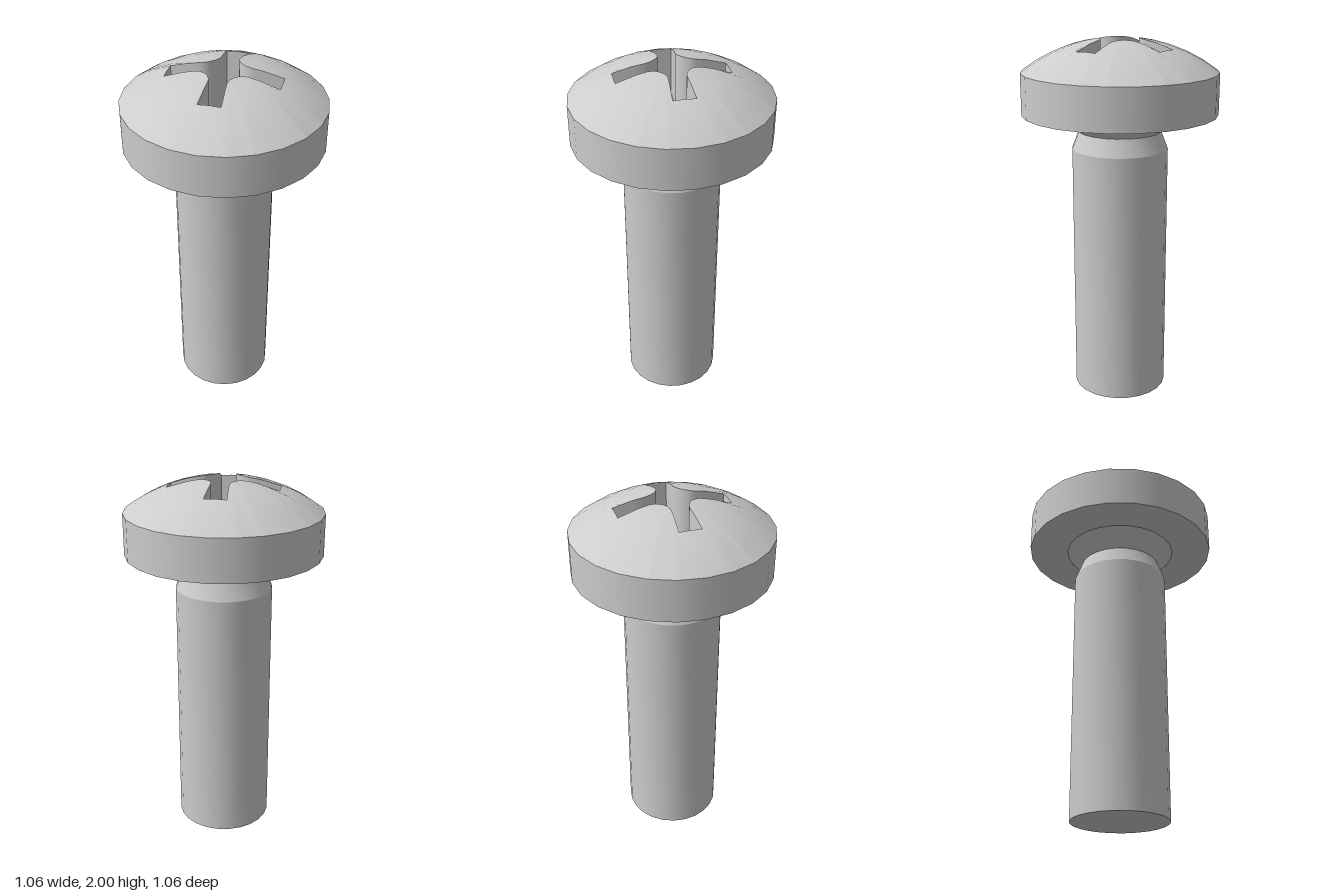
import * as THREE from 'three';
import { toCreasedNormals } from 'three/addons/utils/BufferGeometryUtils.js';

const SIDES = 24, HEAD_R = 0.53, RIM_Y = 1.825, UNDER_Y = 1.6, SLOT_Y = 1.7;
const STEP = (Math.PI * 2) / SIDES;

// Cross-shaped slot outline: flared arms joined by rounded inner corners
function slotOutline() {
  const quarter = [[0.293, 0.058]];
  const segments = 8, c = 0.14, r = 0.094;
  for (let i = 0; i <= segments; i++) {
    const a = -Math.PI / 2 - 0.08 - (i / segments) * (Math.PI / 2 - 0.16);
    quarter.push([c + r * Math.cos(a), c + r * Math.sin(a)]);
  }
  quarter.push([0.058, 0.293]);
  const points = [];
  for (let k = 0; k < 4; k++) {
    for (const [x, y] of quarter) {
      points.push(new THREE.Vector2(x, y).rotateAround(new THREE.Vector2(), k * Math.PI / 2));
    }
  }
  return points;
}

// Distance from the centre to the slot outline along an angle
function slotRadius(outline, angle) {
  const d = new THREE.Vector2(Math.cos(angle), Math.sin(angle));
  for (let i = 0; i < outline.length; i++) {
    const p = outline[i], q = outline[(i + 1) % outline.length];
    if (p.dot(d) > 0 && p.cross(d) > -1e-7 && d.cross(q) > -1e-7) {
      const e = q.clone().sub(p);
      return p.cross(e) / d.cross(e);
    }
  }
  return 0.1;
}

// Joins closed rings of [x, y, z] points, listed from the inside outwards
function loft(rings) {
  const n = rings[0].length, index = [];
  for (let k = 0; k < rings.length - 1; k++) {
    for (let i = 0; i < n; i++) {
      const j = (i + 1) % n, a = k * n + i, b = k * n + j;
      index.push(a, b, a + n, b, b + n, a + n);
    }
  }
  const g = new THREE.BufferGeometry();
  g.setAttribute('position', new THREE.Float32BufferAttribute(rings.flat(2), 3));
  g.setIndex(index);
  g.computeVertexNormals();
  return g;
}

export function createModel() {
  const model = new THREE.Group();
  model.name = 'screw';
  const steel = new THREE.MeshStandardMaterial({ color: 0xcccccc });
  steel.name = 'steel';
  const add = (name, geometry) => {
    const mesh = new THREE.Mesh(geometry, steel);
    mesh.name = name;
    model.add(mesh);
    return mesh;
  };

  // Angles that hit every slot corner and every rim corner
  const outline = slotOutline();
  const angles = outline.map((p) => p.angle());
  for (let i = 0; i < SIDES; i++) angles.push(i * STEP);
  angles.sort((a, b) => a - b);
  const spokes = angles.filter((a, i) => i === 0 || a - angles[i - 1] > 1e-4).map((a) => {
    const offset = a - (Math.floor(a / STEP + 1e-6) + 0.5) * STEP;
    return { a, inner: slotRadius(outline, a), facet: Math.cos(STEP / 2) / Math.cos(offset) };
  });

  // Shallow spherical dome around the slot
  const domeR = 0.87, domeTop = 2.003;
  const base = Math.sqrt(domeR ** 2 - HEAD_R ** 2);
  const domeY = (r) =>
    RIM_Y + (Math.sqrt(domeR ** 2 - r ** 2) - base) * (domeTop - RIM_Y) / (domeR - base);
  const domeRing = (t) => spokes.map(({ a, inner, facet }) => {
    const r = THREE.MathUtils.lerp(inner, HEAD_R * facet, t);
    return [r * Math.cos(a), domeY(Math.min(r / facet, HEAD_R)), r * Math.sin(a)];
  });
  add('headDome', loft([0, 0.2, 0.4, 0.6, 0.8, 1].map(domeRing)));

  // Slot walls and floor
  const slotTop = domeRing(0);
  const slotBottom = slotTop.map(([x, , z]) => [x, SLOT_Y, z]);
  add('slotWalls', toCreasedNormals(loft([slotBottom, slotTop]), 0.5));
  const floor = add('slotFloor', new THREE.ShapeGeometry(new THREE.Shape(outline)));
  floor.rotation.x = -Math.PI / 2;
  floor.position.y = SLOT_Y;

  // Straight head side and flat underside
  const side = add('headSide',
    new THREE.CylinderGeometry(HEAD_R, HEAD_R, RIM_Y - UNDER_Y, SIDES, 1, true));
  side.position.y = (RIM_Y + UNDER_Y) / 2;
  const under = add('headUnderside', new THREE.RingGeometry(0.31, HEAD_R, SIDES));
  under.rotation.x = Math.PI / 2;
  under.position.y = UNDER_Y;

  // Shank with a waisted neck under the head
  const profile = [[0.262, 0], [0.262, 1.41], [0.225, 1.505], [0.31, UNDER_Y]]
    .map(([r, y]) => new THREE.Vector2(r, y));
  add('shank', toCreasedNormals(new THREE.LatheGeometry(profile, SIDES), 0.33));
  const end = add('shankEnd', new THREE.CircleGeometry(0.262, SIDES));
  end.rotation.x = Math.PI / 2;

  return model;
}
